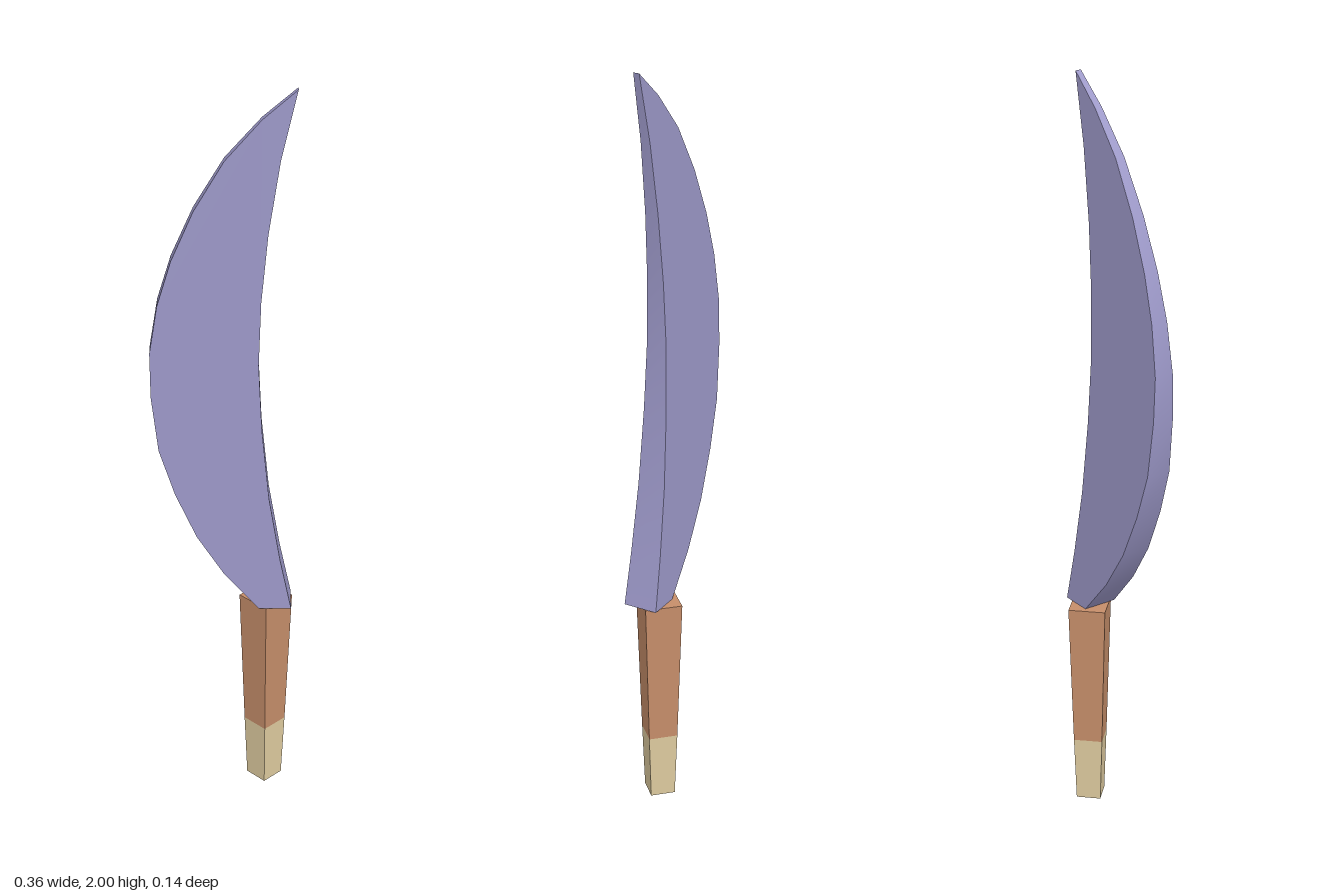
import * as THREE from 'three';
import { toCreasedNormals } from 'three/addons/utils/BufferGeometryUtils.js';

const BASE_Y = 0.575, TIP_Y = 2;

// Curved blade: an extruded outline whose thickness tapers towards the tip
function createBlade() {
  const outline = [
    // convex spine, base to tip
    [0.09, 0.575], [0, 0.68], [-0.07, 0.79], [-0.125, 0.915], [-0.165, 1.04], [-0.183, 1.19], [-0.185, 1.31],
    [-0.165, 1.44], [-0.13, 1.56], [-0.075, 1.69], [0, 1.82], [0.09, 1.925], [0.175, 2],
    // concave edge, tip to base
    [0.135, 1.82], [0.107, 1.63], [0.091, 1.45], [0.086, 1.28], [0.095, 1.1], [0.115, 0.9], [0.145, 0.72], [0.175, 0.575],
  ].map(([x, y]) => new THREE.Vector2(x, y));
  const geometry = new THREE.ExtrudeGeometry(new THREE.Shape(outline), { depth: 1, bevelEnabled: false });
  const pos = geometry.attributes.position;
  for (let i = 0; i < pos.count; i++) {
    const t = (pos.getY(i) - BASE_Y) / (TIP_Y - BASE_Y);
    const back = THREE.MathUtils.lerp(-0.028, 0.01, t);
    const front = THREE.MathUtils.lerp(0.065, 0.026, t);
    pos.setZ(i, THREE.MathUtils.lerp(back, front, pos.getZ(i)));
  }
  const blade = new THREE.Mesh(toCreasedNormals(geometry, 0.4), new THREE.MeshStandardMaterial({ color: 0x9c98c8 }));
  blade.name = 'blade';
  return blade;
}

// Four-sided tapered section of the handle, corners on the x and z axes
function createHandlePart(name, color, y0, y1, r0, r1, openEnded) {
  const geometry = new THREE.CylinderGeometry(r1, r0, y1 - y0, 4, 1, openEnded).toNonIndexed();
  geometry.computeVertexNormals();
  const part = new THREE.Mesh(geometry, new THREE.MeshStandardMaterial({ color }));
  part.position.set(0.11, (y0 + y1) / 2, 0);
  part.name = name;
  return part;
}

export function createModel() {
  const group = new THREE.Group();
  group.name = 'curvedKnife';
  group.add(
    createBlade(),
    createHandlePart('handleGrip', 0xc68e6a, 0.18, BASE_Y, 0.054, 0.069, false),
    createHandlePart('handlePommel', 0xdfcca0, 0, 0.18, 0.046, 0.054, false),
  );
  return group;
}
